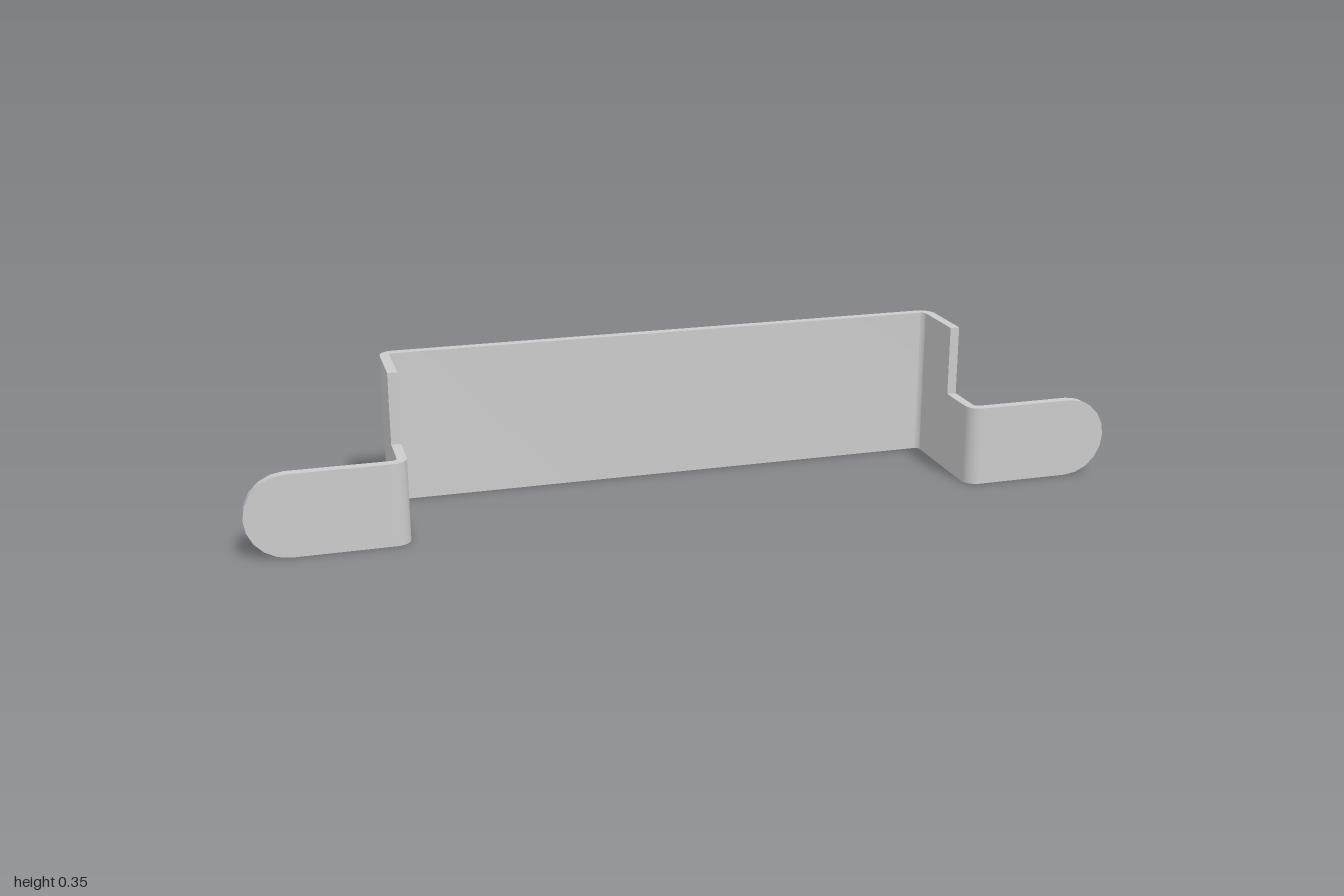
import * as THREE from 'three';
import { toCreasedNormals } from 'three/addons/utils/BufferGeometryUtils.js';

const T = 0.022;              // sheet thickness
const R = 0.033, r = R - T;   // outer and inner bend radius
const WALL = 0.672;           // outer face of side walls
const DEPTH = 0.151;          // half depth
const STEP = 0.023;           // z where the walls step down
const HIGH = 0.35, LOW = 0.187;
const TAB = 0.69;             // x where the flat tab begins

const material = new THREE.MeshStandardMaterial({ color: 0xcccccc });

// Points [x, z] along an arc
function arc(cx, cz, radius, from, to, n = 6) {
  return Array.from({ length: n + 1 }, (_, i) => {
    const a = from + (to - from) * i / n;
    return [cx + radius * Math.cos(a), cz + radius * Math.sin(a)];
  });
}

function extrude(points, depth) {
  const shape = new THREE.Shape(points.map(([x, y]) => new THREE.Vector2(x, y)));
  return new THREE.ExtrudeGeometry(shape, { depth, bevelEnabled: false });
}

function addMesh(group, name, geometry) {
  const mesh = new THREE.Mesh(toCreasedNormals(geometry, 0.6), material);
  mesh.name = name;
  group.add(mesh);
}

// Plan outline [x, z] raised upwards from y = 0
function plan(points, height) {
  return extrude(points.map(([x, z]) => [x, -z]), height).rotateX(-Math.PI / 2);
}

export function createModel() {
  const group = new THREE.Group();
  group.name = 'bracket';
  const P = Math.PI;
  const mirror = pts => pts.map(([x, z]) => [-x, z]);

  // Tall U-shaped channel: back panel with bent side walls
  const cx = WALL - R, cz = -DEPTH + R;
  const outer = [[WALL, STEP], ...arc(cx, cz, R, 0, -P / 2)];
  const inner = [[WALL - T, STEP], ...arc(cx, cz, r, 0, -P / 2)];
  addMesh(group, 'backChannel', plan([
    ...outer, ...mirror(outer).reverse(),
    ...mirror(inner), ...inner.slice().reverse(),
  ], HIGH));

  // Low front part of each wall, bending outwards into the tab
  const bx = WALL + r, bz = DEPTH - R;
  const bend = [
    [WALL, STEP], ...arc(bx, bz, r, P, P / 2), [TAB, DEPTH - T],
    [TAB, DEPTH], ...arc(bx, bz, R, P / 2, P), [WALL - T, STEP],
  ];

  // Mounting tab with a rounded end
  const h = LOW / 2;
  const tab = [[TAB, 0], ...arc(1 - h, h, h, -P / 2, P / 2, 10), [TAB, LOW]];

  for (const [side, flip] of [['left', p => p], ['right', mirror]]) {
    addMesh(group, side + 'Bend', plan(flip(bend), LOW));
    addMesh(group, side + 'Tab', extrude(flip(tab), T).translate(0, 0, DEPTH - T));
  }
  return group;
}
